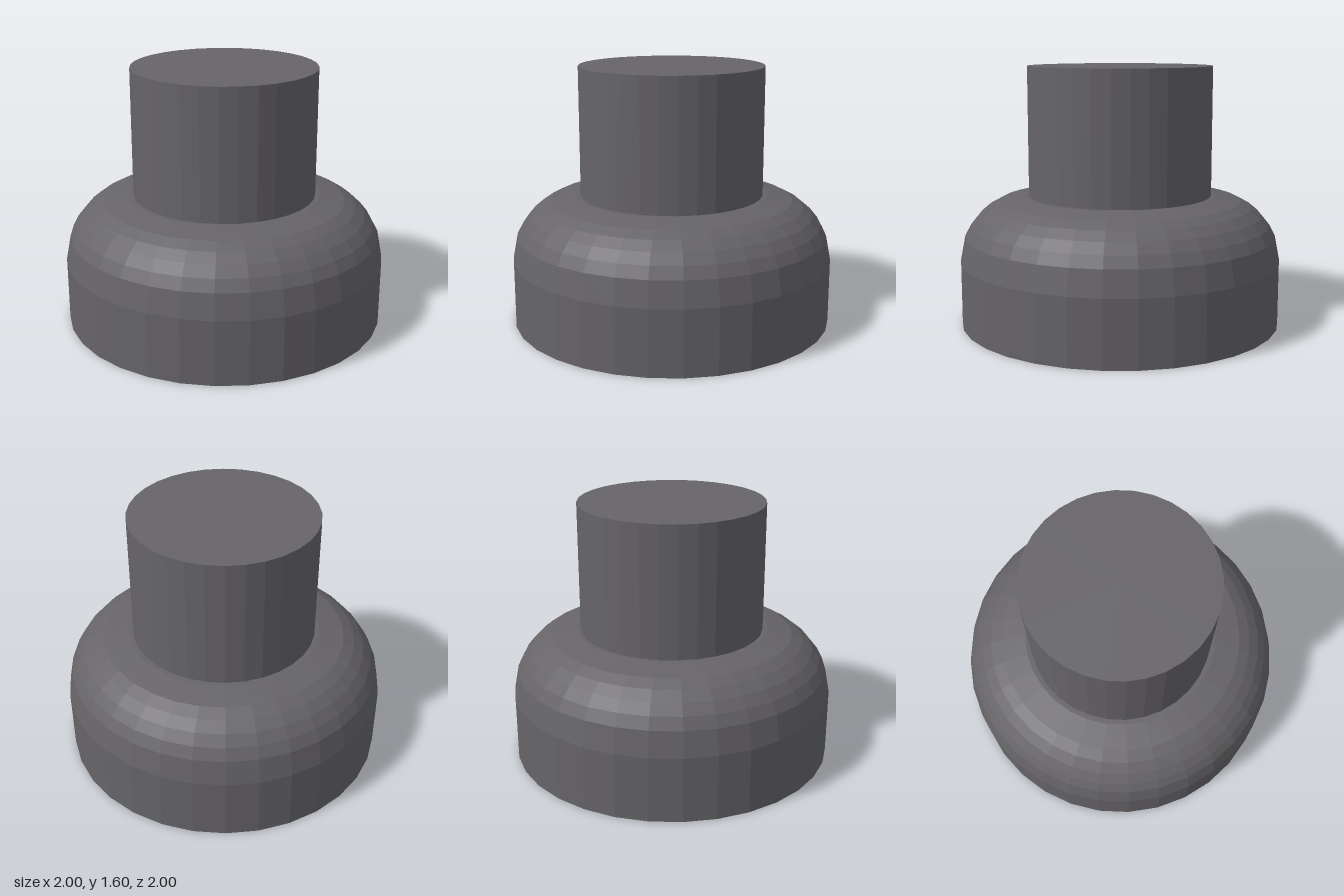
import * as THREE from 'three';

const SIDES = 32;

export function createModel() {
  const group = new THREE.Group();
  const material = new THREE.MeshStandardMaterial({ color: 0x666467, flatShading: true });

  // Wide base: straight wall, then a quarter-round shoulder closing at the top
  const round = 0.4;
  const profile = [new THREE.Vector2(0, 0), new THREE.Vector2(1, 0)];
  for (const degrees of [0, 22.5, 33.75, 45, 56.25, 67.5, 90]) {
    const a = THREE.MathUtils.degToRad(degrees);
    profile.push(new THREE.Vector2(1 - round + round * Math.cos(a), 0.4 + round * Math.sin(a)));
  }
  profile.push(new THREE.Vector2(0, 0.8));
  const base = new THREE.Mesh(new THREE.LatheGeometry(profile, SIDES), material);
  base.name = 'roundedBase';
  group.add(base);

  // Narrow cylindrical stem standing on the base
  const stem = new THREE.Mesh(new THREE.CylinderGeometry(0.57, 0.57, 0.8, SIDES), material);
  stem.name = 'stem';
  stem.position.y = 1.2;
  group.add(stem);

  return group;
}
